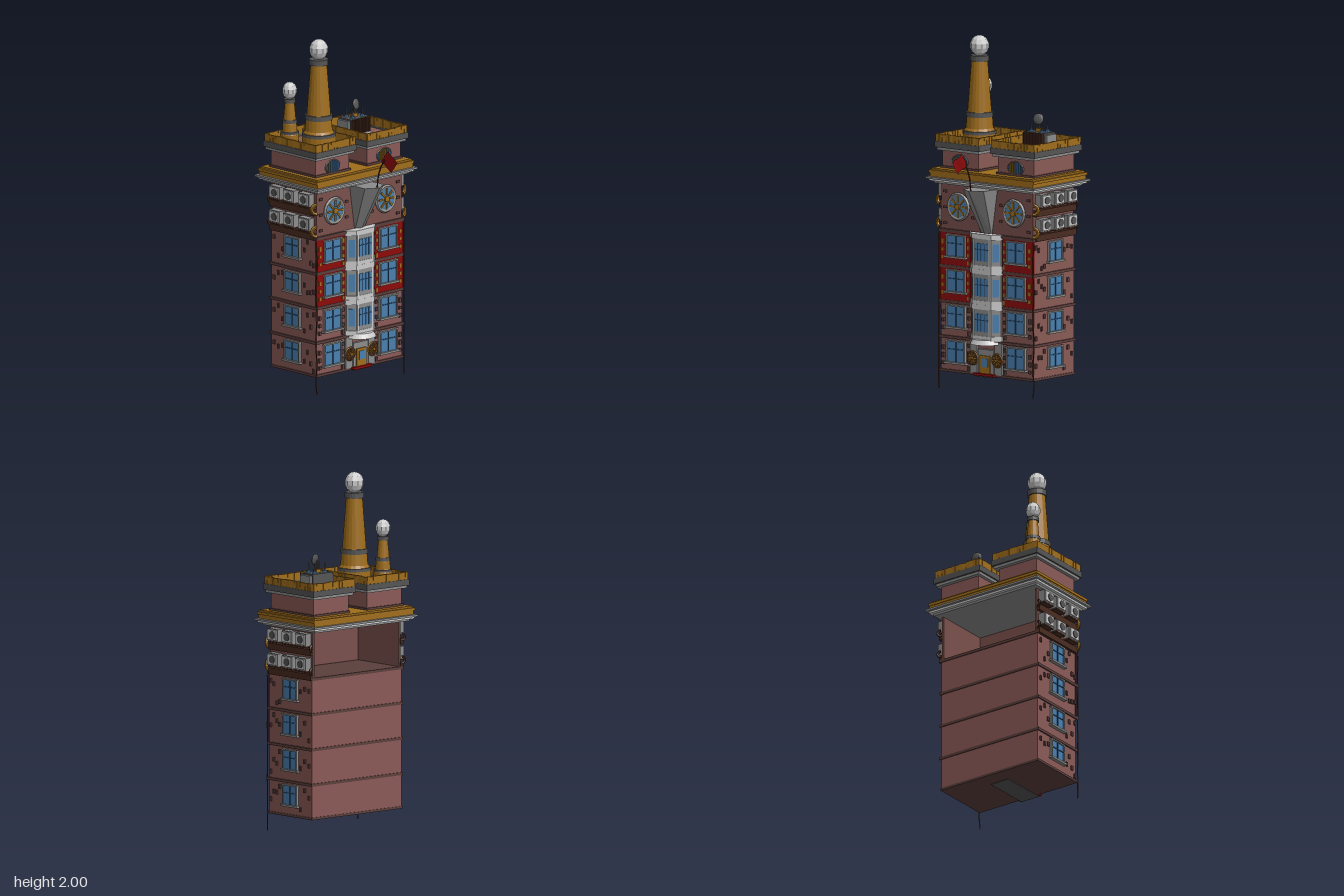
import * as THREE from 'three';
import { ConvexGeometry } from 'three/addons/geometries/ConvexGeometry.js';

const mat = (color, side = THREE.FrontSide) => new THREE.MeshStandardMaterial({ color, side, flatShading: true });
const M = {
  brick: mat(0x8a5a56), dark: mat(0x5c3f3c), red: mat(0x8e0a0a), gold: mat(0xa06e1c), brown: mat(0x4a2c20),
  glass: mat(0x4a80b0), navy: mat(0x24486c), stone: mat(0x8c8c8c), iron: mat(0x555555), pale: mat(0xcccccc),
  shell: mat(0x7a504c, THREE.DoubleSide), flag: mat(0x8e0a0a, THREE.DoubleSide),
};

let seed = 7;
const rnd = () => (seed = (seed * 16807) % 2147483647) / 2147483647;

function add(parent, name, geo, m, x = 0, y = 0, z = 0) {
  const mesh = new THREE.Mesh(geo, m);
  mesh.name = name;
  mesh.position.set(x, y, z);
  parent.add(mesh);
  return mesh;
}
const box = (p, n, m, w, h, d, x, y, z) => add(p, n, new THREE.BoxGeometry(w, h, d), m, x, y, z);
// box given by its limits
const span = (p, n, m, x0, x1, y0, y1, z0, z1) =>
  box(p, n, m, x1 - x0, y1 - y0, z1 - z0, (x0 + x1) / 2, (y0 + y1) / 2, (z0 + z1) / 2);
function group(parent, name, x = 0, y = 0, z = 0, ry = 0) {
  const g = new THREE.Group();
  g.name = name;
  g.position.set(x, y, z);
  g.rotation.y = ry;
  parent.add(g);
  return g;
}
// upright prism from a floor plan of [x, z] points
function prism(p, name, m, plan, y0, y1) {
  const s = new THREE.Shape(plan.map(([x, z]) => new THREE.Vector2(x, -z)));
  const g = new THREE.ExtrudeGeometry(s, { depth: y1 - y0, bevelEnabled: false });
  return add(p, name, g.rotateX(-Math.PI / 2), m, 0, y0, 0);
}
// rectangular ring lying flat
function ring(p, name, m, w, d, t, y0, y1) {
  const rect = (C, a, b) => new C([[-a, -b], [a, -b], [a, b], [-a, b]].map(([x, y]) => new THREE.Vector2(x, y)));
  const s = rect(THREE.Shape, w / 2, d / 2);
  s.holes.push(rect(THREE.Path, w / 2 - t, d / 2 - t));
  const g = new THREE.ExtrudeGeometry(s, { depth: y1 - y0, bevelEnabled: false });
  return add(p, name, g.rotateX(-Math.PI / 2), m, 0, y0, 0);
}

// sash window facing +z
function sashWindow(parent, w, h, x, y, z, ry = 0) {
  const g = group(parent, 'window', x, y, z, ry);
  box(g, 'glass', M.glass, w, h, 0.008, 0, 0, 0.002);
  for (const s of [-1, 1]) box(g, 'jamb', M.stone, 0.008, h + 0.01, 0.018, s * w / 2, 0, 0.004);
  box(g, 'lintel', M.stone, w + 0.015, 0.008, 0.02, 0, h / 2, 0.004);
  box(g, 'sill', M.stone, w + 0.025, 0.012, 0.03, 0, -h / 2, 0.006);
  box(g, 'mullion', M.navy, 0.006, h, 0.012, 0, 0, 0.004);
  box(g, 'transom', M.navy, w, 0.006, 0.012, 0, h * 0.12, 0.004);
}

// round window with spokes facing +z
function wheel(parent, name, r, x, y, z, glass, rim, spokes) {
  const g = group(parent, name, x, y, z);
  add(g, 'disc', new THREE.CylinderGeometry(r, r, 0.012, 20).rotateX(Math.PI / 2), glass);
  add(g, 'rim', new THREE.TorusGeometry(r, r * 0.16, 5, 20), rim);
  add(g, 'hub', new THREE.CylinderGeometry(r * 0.25, r * 0.25, 0.03, 10).rotateX(Math.PI / 2), M.gold);
  for (let i = 0; i < spokes; i++) {
    const a = i / spokes * Math.PI * 2;
    const b = box(g, 'spoke', M.gold, r * 0.55, r * 0.14, 0.016, Math.cos(a) * r * 0.6, Math.sin(a) * r * 0.6, 0.004);
    b.rotation.z = a;
  }
  return g;
}

function chimney(parent, x, z, profile, ballY, r, ry, bands) {
  const g = group(parent, 'chimney', x, 0, z);
  add(g, 'stack', new THREE.LatheGeometry(profile.map(([a, b]) => new THREE.Vector2(a, b)), 20), M.gold);
  for (const [y, br, h] of bands) add(g, 'band', new THREE.CylinderGeometry(br, br, h, 20), M.iron, 0, y, 0);
  add(g, 'globe', new THREE.SphereGeometry(r, 10, 7), M.pale, 0, ballY, 0).scale.y = ry / r;
}

function airConditioner(parent, s, y, z) {
  const g = group(parent, 'airConditioner', s * 0.33, y, z, s * Math.PI / 2);
  box(g, 'case', M.stone, 0.088, 0.07, 0.04, 0, 0, 0.02);
  box(g, 'face', M.pale, 0.074, 0.058, 0.014, 0, 0, 0.04);
  add(g, 'fan', new THREE.CylinderGeometry(0.022, 0.022, 0.006, 12).rotateX(Math.PI / 2), M.iron, 0.004, 0, 0.048);
  box(g, 'bracket', M.brown, 0.08, 0.008, 0.04, 0, -0.04, 0.02);
}

function towerTop(parent, s) {
  const g = group(parent, 'towerTop', s * 0.2, 0, -0.122);
  span(g, 'walls', M.brick, -0.13, 0.13, 1.24, 1.37, -0.18, 0.18);
  box(g, 'baseTrim', M.dark, 0.275, 0.014, 0.375, 0, 1.255, 0);
  box(g, 'roofFloor', M.brick, 0.3, 0.01, 0.41, 0, 1.375, 0);
  ring(g, 'lowerMoulding', M.stone, 0.3, 0.405, 0.03, 1.35, 1.368);
  ring(g, 'upperMoulding', M.iron, 0.32, 0.425, 0.012, 1.366, 1.4);
  // uneven plank parapet
  for (const [len, off, ry] of [[0.31, 0.203, 0], [0.31, 0.203, Math.PI], [0.41, 0.15, Math.PI / 2], [0.41, 0.15, -Math.PI / 2]]) {
    const side = group(g, 'parapet', 0, 1.418, 0, ry);
    const n = Math.round(len / 0.023);
    for (let i = 0; i < n; i++) {
      const b = box(side, 'plank', M.gold, len / n * 0.95, 0.044 + rnd() * 0.008, 0.011, (i + 0.5) * len / n - len / 2, 0, off);
      b.rotation.set(0, (rnd() - 0.5) * 0.25, (rnd() - 0.5) * 0.1);
    }
  }
  // oval window
  const oval = group(g, 'ovalWindow', 0, 1.293, 0.181);
  oval.scale.set(1.45, 1, 1);
  add(oval, 'glass', new THREE.CylinderGeometry(0.035, 0.035, 0.01, 18).rotateX(Math.PI / 2), M.navy);
  add(oval, 'rim', new THREE.TorusGeometry(0.036, 0.005, 5, 20), M.iron);
  for (let i = -2; i <= 2; i++) box(oval, 'bar', M.gold, 0.003, 2 * Math.sqrt(0.0012 - (i * 0.0115) ** 2), 0.012, i * 0.0115, 0, 0.003);
}

export function createModel() {
  const root = new THREE.Group();
  root.name = 'building';
  const half = Math.PI / 2;

  // four main storeys
  for (let i = 0; i < 4; i++) {
    const y = 0.1 + i * 0.2;
    const f = group(root, 'storey', 0, y, 0);
    span(f, 'walls', M.brick, -0.335, 0.335, 0, 0.2, -0.295, 0.065);
    span(f, 'ledge', M.dark, -0.343, 0.343, 0.188, 0.204, -0.3, 0.076);
    for (const s of [-1, 1]) {
      if (i > 1) box(f, 'redPanel', M.red, 0.22, 0.184, 0.012, s * 0.226, 0.096, 0.066);
      sashWindow(f, 0.128, 0.125, s * 0.215, 0.115, 0.073);
      sashWindow(f, 0.115, 0.115, s * 0.337, 0.118, -0.118, s * half);
      // loose bricks
      for (let k = 0; k < 7; k++) {
        box(f, 'sideBrick', M.dark, 0.012, 0.025, 0.014, s * 0.337, 0.03 + rnd() * 0.14, k < 4 ? 0.05 - k * 0.025 : -0.2 - (k - 4) * 0.035);
        box(f, 'frontBrick', i > 1 ? M.gold : M.dark, 0.016, 0.016 + rnd() * 0.012, 0.012, s * (k % 2 ? 0.312 : 0.13), 0.025 + k * 0.022, 0.071);
      }
    }
  }
  span(root, 'footTrim', M.dark, -0.34, 0.34, 0.098, 0.112, -0.298, 0.074);
  span(root, 'basePlate', M.iron, -0.06, 0.06, 0.094, 0.1, -0.2, 0.09);

  // bay windows on the middle axis
  const bay = (k) => [[-0.06 - 0.05 * k, 0.06], [0.06 + 0.05 * k, 0.06], [0.06 + 0.05 * k, 0.075], [0.062 * k, 0.1 + 0.016 * k], [-0.062 * k, 0.1 + 0.016 * k], [-0.06 - 0.05 * k, 0.075]];
  for (let i = 0; i < 3; i++) {
    const y = 0.3 + i * 0.2;
    const g = group(root, 'bayWindow', 0, y, 0);
    prism(g, 'bayBody', M.stone, bay(0.95), 0, 0.2);
    prism(g, 'bayApron', M.pale, bay(1.08), 0.005, 0.03);
    prism(g, 'bayCornice', M.pale, bay(1.14), 0.18, 0.208);
    for (const s of [-1, 1]) {
      box(g, 'frontPane', M.glass, 0.042, 0.1, 0.008, s * 0.026, 0.105, 0.115);
      box(g, 'paneBar', M.navy, 0.005, 0.1, 0.012, s * 0.026, 0.105, 0.115);
      box(g, 'paneRail', M.navy, 0.042, 0.005, 0.012, s * 0.026, 0.12, 0.115);
      box(g, 'sidePane', M.glass, 0.035, 0.1, 0.01, s * 0.084, 0.105, 0.094).rotation.y = s * 0.74;
      box(g, 'post', M.pale, 0.012, 0.15, 0.014, s * 0.058, 0.105, 0.112);
    }
  }

  // entrance
  const door = group(root, 'entrance');
  span(door, 'doorFrame', M.stone, -0.055, 0.055, 0.105, 0.25, 0.06, 0.08);
  span(door, 'doorLeaf', M.gold, -0.036, 0.036, 0.11, 0.215, 0.07, 0.088);
  span(door, 'doorGlass', M.glass, -0.022, 0.022, 0.15, 0.2, 0.08, 0.091);
  span(door, 'step', M.red, -0.07, 0.07, 0.1, 0.114, 0.06, 0.1);
  add(door, 'canopy', new THREE.CylinderGeometry(0.08, 0.095, 0.028, 16, 1, false, -half, Math.PI), M.pale, 0, 0.297, 0.068);
  for (const s of [-1, 1]) {
    wheel(door, 'doorWheel', 0.036, s * 0.088, 0.195, 0.086, M.brown, M.gold, 8);
    span(door, 'pilaster', M.stone, s * 0.088 - 0.025, s * 0.088 + 0.025, 0.11, 0.29, 0.06, 0.078);
  }

  // top storey, open at the back
  const top = group(root, 'topStorey');
  span(top, 'frontWall', M.shell, -0.33, 0.33, 0.9, 1.175, 0.05, 0.066);
  for (const s of [-1, 1]) {
    span(top, 'sideWall', M.shell, s * 0.324 - 0.006, s * 0.324 + 0.006, 0.9, 1.175, -0.295, 0.06);
    wheel(top, 'roseWindow', 0.07, s * 0.2, 1.04, 0.074, M.glass, M.stone, 8);
    for (const y of [0.98, 1.12]) for (const z of [0, -0.122, -0.235]) airConditioner(top, s, y, z);
    for (const y of [0.91, 1.05]) span(top, 'sideLedge', M.brown, s * 0.338 - 0.012, s * 0.338 + 0.012, y - 0.02, y + 0.016, -0.298, 0.06);
    // curled corner ornaments
    for (const y of [0.94, 1.07]) for (const z of [0.07, -0.295]) {
      const hook = add(top, 'cornerOrnament', new THREE.TorusGeometry(0.026, 0.01, 5, 10, Math.PI * 1.1), z > 0 ? M.gold : M.brown, s * 0.338, y, z);
      hook.rotation.set(0, s > 0 ? 0.4 : Math.PI - 0.4, -1.8);
      hook.scale.setScalar(z > 0 ? 1 : 0.7);
    }
    for (let k = 0; k < 5; k++) box(top, 'wallBrick', M.dark, 0.022, 0.014, 0.01, s * (0.3 - 0.2 * (k % 2)), 0.94 + k * 0.045, 0.068);
  }
  span(top, 'frontLedge', M.dark, -0.34, 0.34, 0.893, 0.908, 0.05, 0.08);

  // wedge balcony
  const wedge = [];
  for (const [y, w, a, b] of [[1.165, 0.074, 0.19, 0.233], [0.91, 0.036, 0.075, 0.09]])
    for (const [x, z] of [[-w, 0.06], [w, 0.06], [w, a], [-w, a], [0, b]]) wedge.push(new THREE.Vector3(x, y, z));
  add(root, 'wedgeBalcony', new ConvexGeometry(wedge), M.stone);

  // flag on a bent pole
  const flag = group(root, 'flag');
  const pole = new THREE.CatmullRomCurve3([[0, 1.15, 0.212], [0, 1.23, 0.222], [0, 1.29, 0.245], [0, 1.335, 0.275]].map(p => new THREE.Vector3(...p)));
  add(flag, 'pole', new THREE.TubeGeometry(pole, 10, 0.004, 6), M.brown);
  const cloth = new THREE.PlaneGeometry(0.095, 0.085, 6, 3);
  const cp = cloth.attributes.position;
  for (let i = 0; i < cp.count; i++) {
    const u = cp.getX(i);
    cp.setY(i, cp.getY(i) + 0.006 * Math.sin(u * 60));
    cp.setZ(i, 0.005 * Math.sin(u * 70));
  }
  add(flag, 'cloth', cloth.rotateZ(-0.65).rotateY(-half), M.flag, 0, 1.328, 0.312);

  // cornice between storeys and towers
  const cornice = group(root, 'cornice');
  span(cornice, 'bedMoulding', M.stone, -0.355, 0.355, 1.165, 1.183, -0.34, 0.1);
  span(cornice, 'drip', M.pale, -0.375, 0.375, 1.178, 1.192, -0.36, 0.12);
  span(cornice, 'shelf', M.stone, -0.39, 0.39, 1.19, 1.202, -0.375, 0.135);
  span(cornice, 'lowerGold', M.gold, -0.372, 0.372, 1.2, 1.226, -0.356, 0.117);
  span(cornice, 'upperGold', M.gold, -0.378, 0.378, 1.224, 1.24, -0.36, 0.12);
  span(cornice, 'roofDeck', M.gold, -0.365, 0.365, 1.238, 1.25, -0.35, 0.11);

  for (const s of [-1, 1]) towerTop(root, s);

  chimney(root, -0.173, -0.08, [[0.08, 1.375], [0.094, 1.4], [0.094, 1.45], [0.078, 1.475], [0.073, 1.54], [0.068, 1.57], [0.046, 1.86], [0, 1.865]],
    1.94, 0.054, 0.06, [[1.385, 0.092, 0.02], [1.452, 0.096, 0.018], [1.553, 0.077, 0.028], [1.87, 0.054, 0.032]]);
  chimney(root, -0.255, -0.23, [[0.05, 1.375], [0.054, 1.44], [0.042, 1.46], [0.04, 1.5], [0.036, 1.52], [0.026, 1.63], [0, 1.635]],
    1.69, 0.042, 0.05, [[1.39, 0.054, 0.02], [1.45, 0.052, 0.014], [1.515, 0.041, 0.02], [1.633, 0.033, 0.022]]);

  // rooftop machine with dish
  const rig = group(root, 'roofMachine', 0.188, 0, -0.168);
  span(rig, 'housing', M.iron, -0.073, 0.073, 1.38, 1.475, -0.05, 0.05);
  for (const s of [-1, 1]) {
    span(rig, 'sideVent', M.stone, s * 0.08 - 0.008, s * 0.08 + 0.008, 1.38, 1.465, -0.042, 0.042);
    for (const z of [-0.025, 0.025]) {
      add(rig, 'insulatorFoot', new THREE.CylinderGeometry(0.012, 0.014, 0.012, 10), M.glass, s * 0.038, 1.48, z);
      add(rig, 'insulator', new THREE.CylinderGeometry(0.003, 0.006, 0.05, 6), M.iron, s * 0.038, 1.505, z);
    }
  }
  for (let i = -6; i <= 6; i++) box(rig, 'grilleBar', M.brown, 0.006, 0.085, 0.012, i * 0.011, 1.43, 0.056);
  span(rig, 'grilleSill', M.pale, -0.073, 0.073, 1.382, 1.39, 0.05, 0.068);
  box(rig, 'dishBase', M.gold, 0.034, 0.02, 0.03, 0, 1.484, -0.002);
  add(rig, 'dishPost', new THREE.CylinderGeometry(0.005, 0.005, 0.06, 6), M.iron, 0, 1.51, 0);
  const dish = add(rig, 'dish', new THREE.SphereGeometry(0.032, 14, 8), M.iron, 0.002, 1.548, 0.012);
  dish.scale.z = 0.35;
  dish.rotation.set(-0.2, 0.3, 0);

  // crooked drainpipes reaching the ground
  for (const s of [-1, 1]) {
    const pts = [0, 0.08, 0.16, 0.3, 0.45, 0.6, 0.75, 0.88].map((y, i) => new THREE.Vector3(s * (0.339 + 0.004 * (i % 2)), y, 0.074 + 0.004 * ((i + 1) % 2)));
    add(root, 'drainpipe', new THREE.TubeGeometry(new THREE.CatmullRomCurve3(pts), 28, 0.0035, 5), M.brown);
  }
  return root;
}
